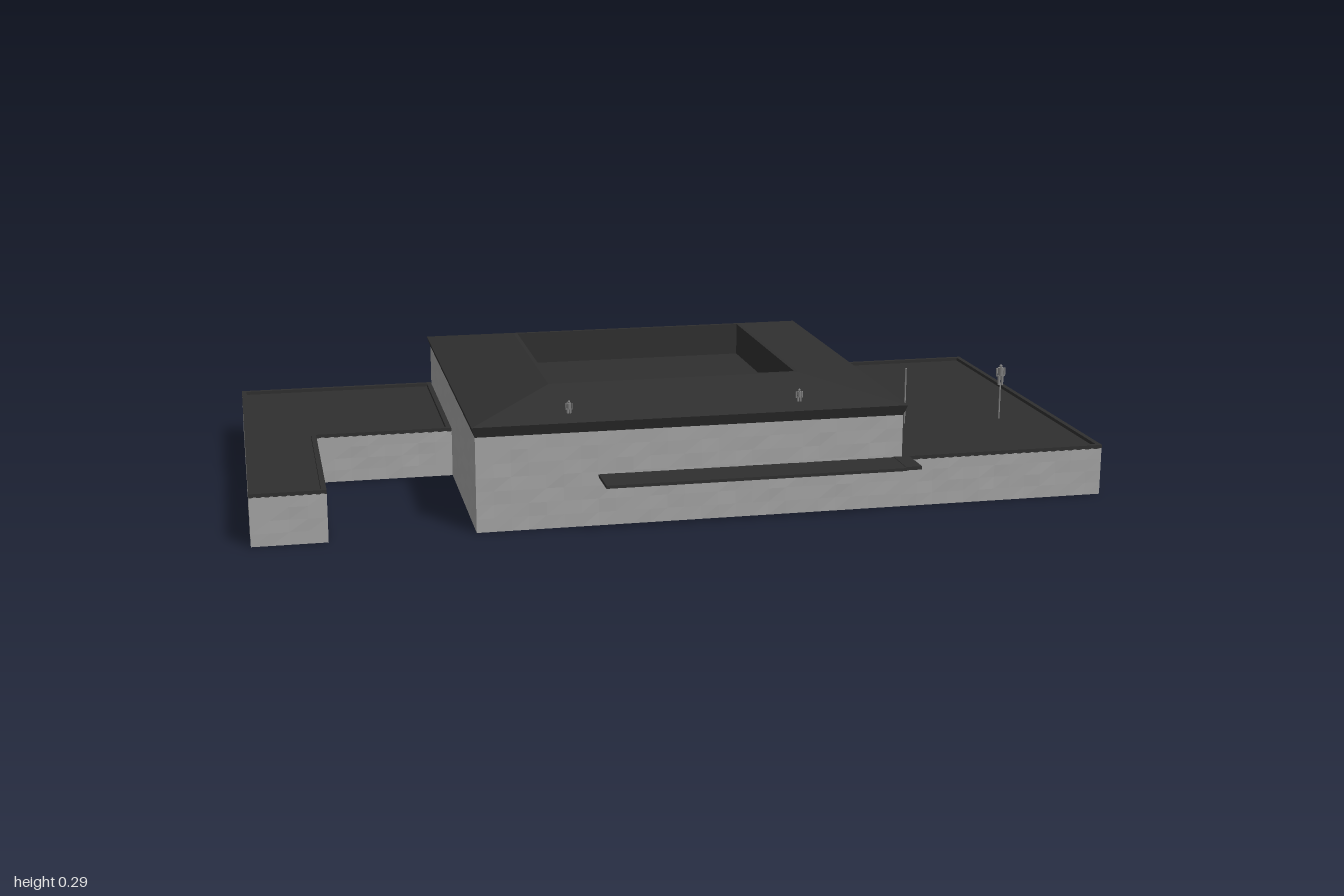
import * as THREE from 'three';

const mat = (name, color, side = THREE.FrontSide) => {
  const m = new THREE.MeshStandardMaterial({ color, side });
  m.name = name;
  return m;
};

export function createModel() {
  const model = new THREE.Group();
  model.name = 'building';
  const stone = mat('stone', 0xa3a3a3, THREE.DoubleSide);
  stone.flatShading = true;
  const roofing = mat('roofing', 0x2f2f2f, THREE.DoubleSide);
  roofing.flatShading = true;
  const metal = mat('metal', 0x858585);

  const add = (name, geo, material, x = 0, y = 0, z = 0, parent = model) => {
    const m = new THREE.Mesh(geo, material);
    m.name = name;
    m.position.set(x, y, z);
    parent.add(m);
    return m;
  };
  const box = (name, material, x0, x1, y0, y1, z0, z1, parent = model) =>
    add(name, new THREE.BoxGeometry(x1 - x0, y1 - y0, z1 - z0), material,
      (x0 + x1) / 2, (y0 + y1) / 2, (z0 + z1) / 2, parent);

  // Walls: single sheets with a faint rough surface, flat along their borders
  const wall = (name, x0, z0, x1, z1, y0, y1) => {
    const len = Math.hypot(x1 - x0, z1 - z0), h = y1 - y0;
    const nx = Math.max(2, Math.round(len / 0.04)), ny = Math.max(2, Math.round(h / 0.03));
    const geo = new THREE.PlaneGeometry(len, h, nx, ny);
    const p = geo.attributes.position;
    for (let i = 0; i < p.count; i++) {
      const c = i % (nx + 1), r = Math.floor(i / (nx + 1));
      if (c === 0 || c === nx || r === 0 || r === ny) continue;
      p.setZ(i, 0.0012 * Math.sin(c * 2.3 + r * 1.7) * Math.cos(c * 0.9 - r * 2.6));
    }
    geo.computeVertexNormals();
    const m = add(name, geo, stone, (x0 + x1) / 2, (y0 + y1) / 2, (z0 + z1) / 2);
    m.rotation.y = Math.atan2(z0 - z1, x1 - x0);
  };
  const F = 0.46, B = -0.505, LOW = 0.116, HIGH = 0.222;
  wall('hallFrontWall', -0.5, F, 0.5, F, 0, HIGH);
  wall('hallBackWall', 0.5, B, -0.5, B, 0, HIGH);
  wall('hallRightWall', -0.5, -0.02, -0.5, F, 0, HIGH);
  wall('hallUpperLeftWall', 0.5, F, 0.5, B, LOW, HIGH);
  wall('hallUpperRightWall', -0.5, B, -0.5, -0.02, LOW, HIGH);
  const path = (name, pts) => {
    for (let i = 0; i + 1 < pts.length; i++) wall(name, ...pts[i], ...pts[i + 1], 0, LOW);
  };
  path('leftWingWall', [[0.5, F], [1, F], [1, B], [0.5, B]]);
  path('rightWingWall', [[-0.5, B], [-1, B], [-1, F], [-0.83, F], [-0.83, -0.02], [-0.5, -0.02]]);

  // Wing roofs: a flat deck inside a low rim; outlines in (x, -z), counterclockwise
  const inset = (pts, d) => pts.map((p, i) => {
    const n = pts.length, a = pts[(i + n - 1) % n], b = pts[(i + 1) % n];
    const normal = (s, e) => [-Math.sign(e[1] - s[1]), Math.sign(e[0] - s[0])];
    const n1 = normal(a, p), n2 = normal(p, b);
    return [p[0] + d * (n1[0] + n2[0]), p[1] + d * (n1[1] + n2[1])];
  });
  const wingRoof = (name, pts) => {
    const toV = (list) => list.map(([x, y]) => new THREE.Vector2(x, y));
    const deck = new THREE.ShapeGeometry(new THREE.Shape(toV(pts)));
    add(name + 'Deck', deck.rotateX(-Math.PI / 2), roofing, 0, 0.113, 0);
    const rim = new THREE.Shape(toV(pts));
    rim.holes.push(new THREE.Path(toV(inset(pts, 0.012)).reverse()));
    const geo = new THREE.ExtrudeGeometry(rim, { depth: 0.008, bevelEnabled: false });
    add(name + 'Rim', geo.rotateX(-Math.PI / 2), roofing, 0, 0.114, 0);
  };
  wingRoof('leftWingRoof', [[0.501, -0.462], [1, -0.462], [1, 0.51], [0.501, 0.51]]);
  wingRoof('rightWingRoof',
    [[-1, -0.462], [-0.83, -0.462], [-0.83, 0.018], [-0.501, 0.018], [-0.501, 0.51], [-1, 0.51]]);

  // Hall roof: fascia, hipped slope, narrow crest and sunken well as rectangular rings
  const rings = [ // x half width, back z, front z, y
    [0.5, B, F, 0.222],
    [0.508, -0.512, 0.47, 0.247],
    [0.302, -0.311, 0.266, 0.29],
    [0.293, -0.302, 0.257, 0.29],
    [0.293, -0.302, 0.257, 0.21],
  ];
  const corners = ([w, b, f, y]) => [[-w, y, f], [w, y, f], [w, y, b], [-w, y, b]];
  const pos = [];
  const quad = (a, b, c, d) => pos.push(...a, ...b, ...c, ...a, ...c, ...d);
  for (let k = 0; k + 1 < rings.length; k++) {
    const lo = corners(rings[k]), hi = corners(rings[k + 1]);
    for (let i = 0; i < 4; i++) {
      const j = (i + 1) % 4;
      quad(lo[i], lo[j], hi[j], hi[i]);
    }
  }
  quad(...corners(rings[4]));
  // Flat ceiling around the well
  const lip = corners(rings[0]), well = corners([0.293, -0.302, 0.257, 0.222]);
  for (let i = 0; i < 4; i++) {
    const j = (i + 1) % 4;
    quad(lip[j], lip[i], well[i], well[j]);
  }
  const roofGeo = new THREE.BufferGeometry();
  roofGeo.setAttribute('position', new THREE.Float32BufferAttribute(pos, 3));
  roofGeo.computeVertexNormals();
  add('hallRoof', roofGeo, roofing);

  // Entrance canopy
  box('canopy', roofing, -0.22, 0.48, 0.114, 0.121, 0.45, 0.555);
  box('canopyEnd', roofing, 0.48, 0.518, 0.114, 0.122, 0.455, 0.55);

  // Back step, door and small windows
  box('backStep', stone, -0.475, -0.42, 0, 0.012, -0.56, -0.5);
  box('backDoor', stone, -0.465, -0.43, 0.012, 0.055, -0.51, -0.504);
  for (const x of [-0.57, -0.73, -0.92])
    box('backWindow', stone, x - 0.027, x + 0.027, 0.02, 0.062, -0.511, -0.504);

  // Small standing figures
  const figure = (name, x, y, z, h) => {
    const g = new THREE.Group();
    g.name = name;
    g.position.set(x, y, z);
    for (const s of [-1, 1]) {
      add('leg', new THREE.CylinderGeometry(0.08 * h, 0.06 * h, 0.48 * h, 6), metal, s * 0.08 * h, 0.24 * h, 0, g);
      add('arm', new THREE.CylinderGeometry(0.045 * h, 0.04 * h, 0.4 * h, 6), metal, s * 0.19 * h, 0.62 * h, 0, g);
    }
    add('body', new THREE.CylinderGeometry(0.15 * h, 0.12 * h, 0.38 * h, 6), metal, 0, 0.65 * h, 0, g);
    add('head', new THREE.SphereGeometry(0.085 * h, 8, 6), metal, 0, 0.915 * h, 0, g);
    model.add(g);
  };
  figure('roofFigure', -0.28, 0.25, 0.42, 0.037);
  figure('roofFigure', 0.26, 0.25, 0.42, 0.037);
  figure('poleFigure', 0.865, 0.2, 0.14, 0.053);

  // Poles on the left wing
  const pole = (name, x, y0, y1, r) =>
    add(name, new THREE.CylinderGeometry(r, r, y1 - y0, 6), metal, x, (y0 + y1) / 2, 0.14);
  pole('tallPole', 0.615, 0.113, 0.255, 0.002);
  pole('figurePole', 0.865, 0.113, 0.205, 0.002);
  return model;
}
